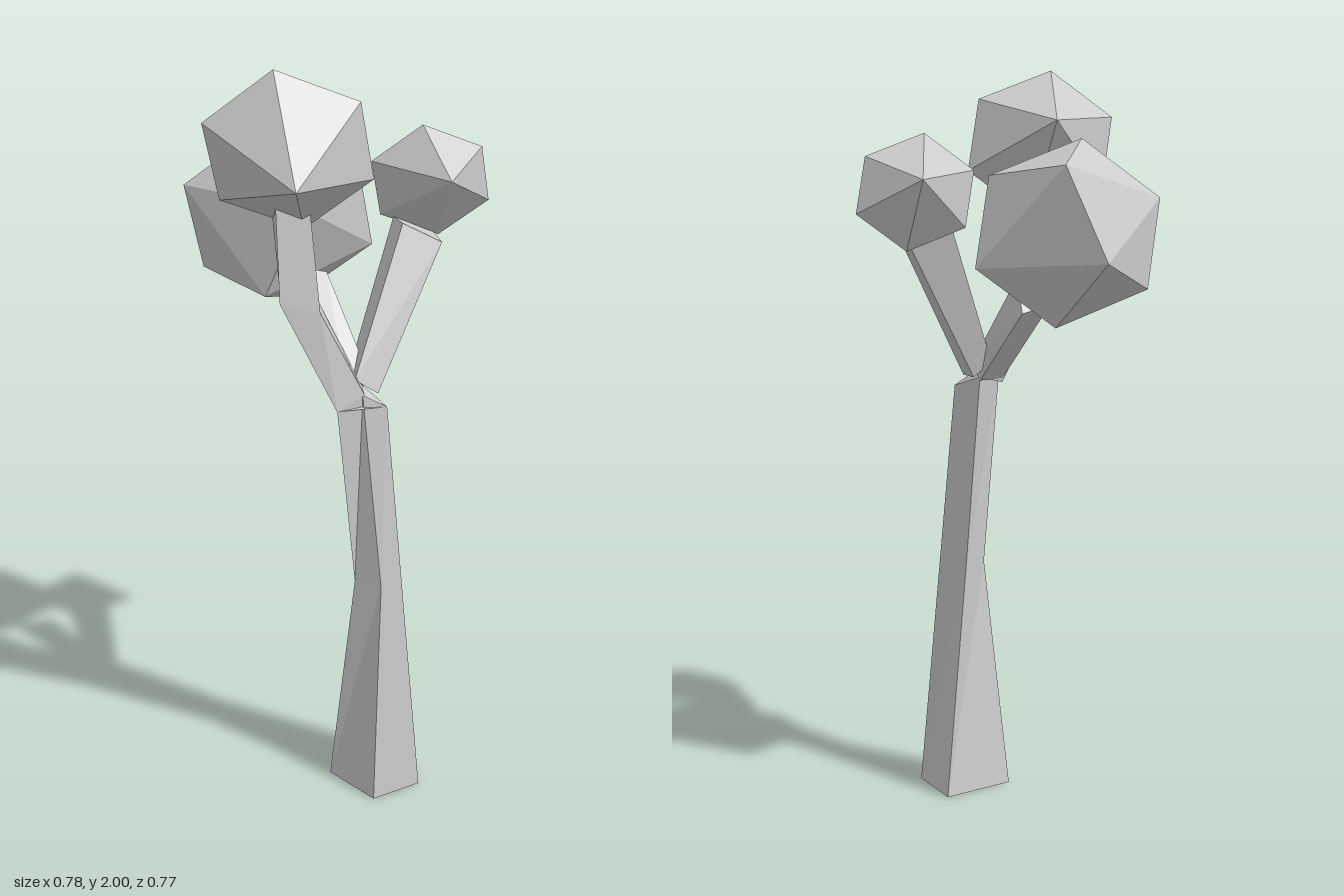
import * as THREE from 'three';
import { ConvexGeometry } from 'three/addons/geometries/ConvexGeometry.js';

const material = new THREE.MeshStandardMaterial({ color: 0xcccccc, flatShading: true });
const vec = (p) => new THREE.Vector3(...p);

// Closed four-sided loft; rings run from bottom to top, clockwise seen from above
function loft(name, rings) {
  const pos = [];
  const tri = (...pts) => pts.forEach((p) => pos.push(...p));
  for (let i = 0; i < rings.length - 1; i++) {
    for (let j = 0; j < 4; j++) {
      const k = (j + 1) % 4;
      const a = rings[i][j], b = rings[i][k], c = rings[i + 1][k], d = rings[i + 1][j];
      tri(b, a, d);
      tri(b, d, c);
    }
  }
  const [p, q, r, s] = rings[0];
  tri(p, q, r);
  tri(p, r, s);
  const [t, u, v, w] = rings[rings.length - 1];
  tri(t, v, u);
  tri(t, w, v);
  const geometry = new THREE.BufferGeometry();
  geometry.setAttribute('position', new THREE.Float32BufferAttribute(pos, 3));
  geometry.computeVertexNormals();
  const mesh = new THREE.Mesh(geometry, material);
  mesh.name = name;
  return mesh;
}

// Leaf clump: a tilted six-sided ring closed by front and back tips
const RING = [[-0.205, 0.075, 0], [-0.04, 0.2, 0.04], [0.165, 0.12, 0.04]].map(vec);
function clump(name, center, size, tips) {
  const c = vec(center);
  const points = tips.map(vec);
  for (const r of RING) {
    points.push(c.clone().addScaledVector(r, size), c.clone().addScaledVector(r, -size));
  }
  const mesh = new THREE.Mesh(new ConvexGeometry(points), material);
  mesh.name = name;
  return mesh;
}

export function createModel() {
  const tree = new THREE.Group();
  tree.name = 'tree';

  // Tapering trunk with a slight bend
  tree.add(loft('trunk', [
    [[0.176, 0, 0.224], [0.038, 0, 0.273], [-0.06, 0, 0.13], [0.135, 0, 0.057]],
    [[0.122, 0.64, 0.205], [0.062, 0.64, 0.227], [0, 0.64, 0.18], [0.07, 0.65, 0.1]],
    [[0.08, 1.14, 0.19], [0.015, 1.18, 0.2], [-0.055, 1.15, 0.228], [0.03, 1.17, 0.1]],
  ]));

  // Three branches
  tree.add(loft('frontBranch', [
    [[0.02, 1.18, 0.2], [-0.055, 1.15, 0.228], [-0.04, 1.15, 0.13], [0.03, 1.17, 0.1]],
    [[-0.095, 1.41, 0.22], [-0.195, 1.44, 0.225], [-0.18, 1.44, 0.11], [-0.085, 1.41, 0.11]],
    [[-0.115, 1.66, 0.2], [-0.2, 1.68, 0.213], [-0.2, 1.68, 0.12], [-0.115, 1.66, 0.1]],
  ]));
  tree.add(loft('backBranch', [
    [[0.045, 1.2, 0.14], [-0.02, 1.2, 0.16], [-0.04, 1.16, 0.13], [0.03, 1.16, 0.1]],
    [[-0.04, 1.44, -0.02], [-0.11, 1.46, 0.0], [-0.12, 1.37, -0.06], [-0.04, 1.35, -0.08]],
  ]));
  tree.add(loft('sideBranch', [
    [[0.06, 1.17, 0.17], [0, 1.21, 0.17], [0, 1.21, 0.09], [0.05, 1.17, 0.09]],
    [[0.25, 1.52, 0.035], [0.15, 1.57, 0.02], [0.14, 1.57, -0.05], [0.25, 1.52, -0.06]],
  ]));

  // Leaf clumps; the back one has a blunt, two-point tip at each end
  tree.add(clump('frontLeaves', [-0.16, 1.8, 0.172], 1,
    [[-0.175, 1.753, 0.386], [-0.143, 1.85, -0.043]]));
  tree.add(clump('backLeaves', [-0.143, 1.56, -0.151], 1.205, [
    [-0.08, 1.724, -0.329], [-0.172, 1.485, -0.388],
    [-0.206, 1.396, 0.027], [-0.114, 1.635, 0.086],
  ]));
  tree.add(clump('sideLeaves', [0.233, 1.663, -0.036], 0.755,
    [[0.252, 1.695, 0.114], [0.246, 1.69, -0.196]]));

  return tree;
}
